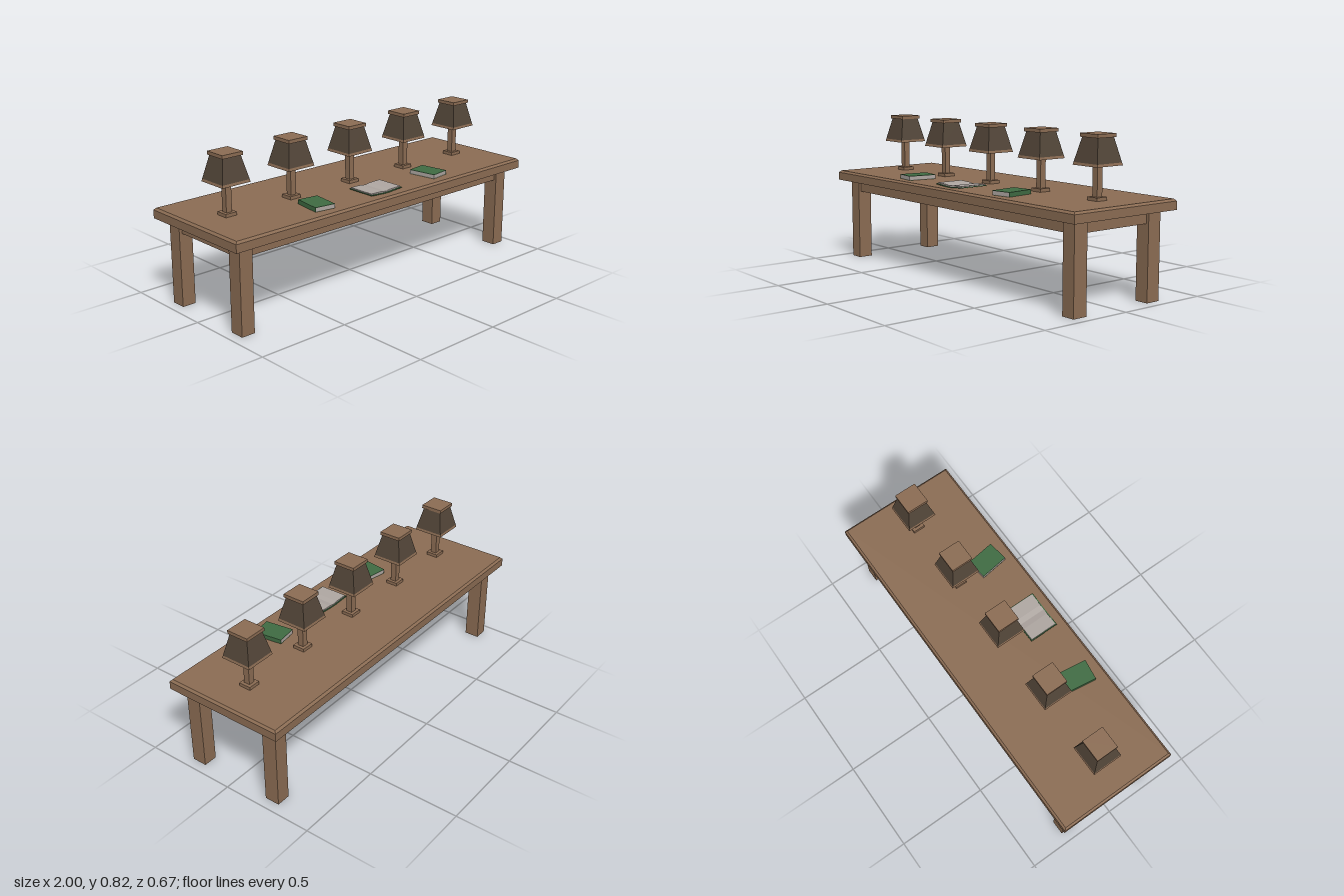
import * as THREE from 'three';

const mat = (name, color, side = THREE.FrontSide) => {
  const m = new THREE.MeshStandardMaterial({ color, side });
  m.name = name;
  return m;
};

export function createModel() {
  const wood = mat('wood', 0x8b6c53);
  const rimWood = mat('rim wood', 0x8b6c53, THREE.DoubleSide);
  const shadeBrown = mat('dark shade', 0x524538, THREE.DoubleSide);
  const green = mat('green cover', 0x3f6b42);
  const paper = mat('paper', 0xaea6a1);
  const model = new THREE.Group();
  model.name = 'readingTable';

  const add = (parent, name, geometry, material, x = 0, y = 0, z = 0) => {
    const mesh = new THREE.Mesh(geometry, material);
    mesh.name = name;
    mesh.position.set(x, y, z);
    parent.add(mesh);
    return mesh;
  };
  // Box standing on y
  const box = (parent, name, material, w, h, d, x, y, z) =>
    add(parent, name, new THREE.BoxGeometry(w, h, d), material, x, y + h / 2, z);
  // Open square taper with flat sides, between two half widths
  const taper = (parent, name, material, bottom, top, y0, y1) => {
    const g = new THREE.CylinderGeometry(top * Math.SQRT2, bottom * Math.SQRT2, y1 - y0, 4, 1, true)
      .rotateY(Math.PI / 4).toNonIndexed();
    g.computeVertexNormals();
    add(parent, name, g, material, 0, (y0 + y1) / 2, 0);
  };

  // Table top with a chamfered upper edge
  box(model, 'tableTop', wood, 2, 0.043, 0.666, 0, 0.447, 0);
  const chamfer = new THREE.BoxGeometry(2, 0.011, 0.666).toNonIndexed();
  const p = chamfer.attributes.position;
  for (let i = 0; i < p.count; i++) {
    if (p.getY(i) > 0) {
      p.setX(i, p.getX(i) - Math.sign(p.getX(i)) * 0.011);
      p.setZ(i, p.getZ(i) - Math.sign(p.getZ(i)) * 0.011);
    }
  }
  chamfer.computeVertexNormals();
  add(model, 'tableTopChamfer', chamfer, wood, 0, 0.4955, 0);

  // Legs and aprons
  for (const s of [-1, 1]) {
    for (const t of [-1, 1]) box(model, 'leg', wood, 0.075, 0.447, 0.08, s * 0.9075, 0, t * 0.24);
    box(model, 'sideApron', wood, 0.03, 0.062, 0.4, s * 0.915, 0.385, 0);
    box(model, 'longApron', wood, 1.74, 0.062, 0.03, 0, 0.385, s * 0.25);
  }

  // Five lamps
  for (let i = -2; i <= 2; i++) {
    const lamp = new THREE.Group();
    lamp.name = 'lamp';
    lamp.position.set(i * 0.4, 0.5, 0);
    model.add(lamp);
    box(lamp, 'lampBase', wood, 0.066, 0.018, 0.066, 0, 0, 0);
    box(lamp, 'lampStem', wood, 0.033, 0.182, 0.033, 0, 0.018, 0);
    box(lamp, 'bulb', paper, 0.045, 0.06, 0.045, 0, 0.19, 0);
    taper(lamp, 'shadeRim', rimWood, 0.083, 0.08, 0.168, 0.181);
    taper(lamp, 'shade', shadeBrown, 0.08, 0.052, 0.181, 0.301);
    box(lamp, 'shadeCap', wood, 0.12, 0.018, 0.12, 0, 0.3, 0);
  }

  // Two closed books, spines outward
  for (const s of [-1, 1]) {
    const book = new THREE.Group();
    book.name = 'closedBook';
    book.position.set(s * 0.4, 0.5, 0.19);
    book.rotation.y = s * 0.14;
    model.add(book);
    box(book, 'backCover', green, 0.113, 0.002, 0.157, 0, 0, 0);
    box(book, 'pages', paper, 0.11, 0.02, 0.156, s * -0.001, 0.002, 0);
    box(book, 'frontCover', green, 0.113, 0.002, 0.157, 0, 0.022, 0);
    box(book, 'spine', green, 0.003, 0.02, 0.157, s * 0.055, 0.002, 0);
  }

  // Open book: mirrored cross-sections extruded along z
  const openBook = new THREE.Group();
  openBook.name = 'openBook';
  model.add(openBook);
  const leaf = (name, material, lower, upper, z, depth) => {
    const mirror = (a) => a.slice(1).reverse().map(([x, y]) => [-x, y]);
    const right = [...lower, ...upper];
    const pts = [...mirror(lower), ...lower, ...upper.slice().reverse(), ...mirror(upper).reverse()];
    if (right.length) {
      const shape = new THREE.Shape(pts.map(([x, y]) => new THREE.Vector2(x, y)));
      add(openBook, name, new THREE.ExtrudeGeometry(shape, { depth, bevelEnabled: false }), material, 0, 0.5, z);
    }
  };
  leaf('openCover', green, [[0, 0], [0.108, 0.007]], [[0, 0.004], [0.108, 0.011]], 0.114, 0.164);
  leaf('openPages', paper, [[0, 0.004], [0.103, 0.0107]], [[0, 0.009], [0.03, 0.014], [0.103, 0.016]], 0.119, 0.152);

  return model;
}
